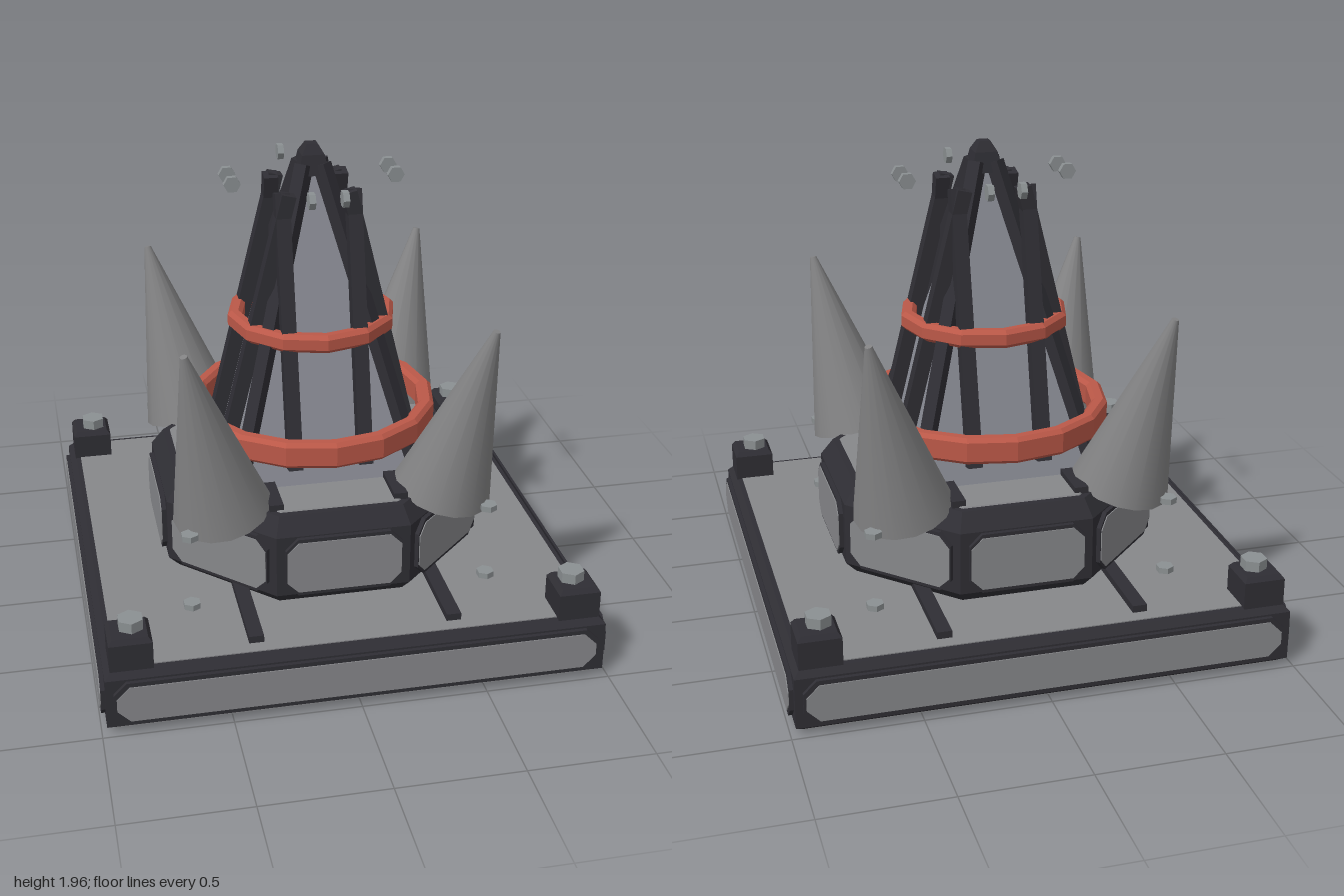
import * as THREE from 'three';

const mat = (name, color) => {
  const m = new THREE.MeshStandardMaterial({ color });
  m.name = name;
  return m;
};

export function createModel() {
  const model = new THREE.Group();
  const dark = mat('dark frame', 0x2f2e34);
  const grey = mat('grey panel', 0x86878a);
  const steel = mat('tower steel', 0x888a93);
  const spikeGrey = mat('spike grey', 0x828283);
  const boltGrey = mat('bolt grey', 0x8b9092);
  const red = mat('red ring', 0xbb5848);

  // faceted normals
  const flat = (g) => {
    const f = g.index ? g.toNonIndexed() : g;
    f.computeVertexNormals();
    return f;
  };
  const add = (name, geo, material, parent = model) => {
    const m = new THREE.Mesh(geo, material);
    m.name = name;
    parent.add(m);
    return m;
  };
  // n-sided frustum measured across its flats, standing from y0 to y1
  const frustum = (name, n, a0, y0, a1, y1, material, open = false) => {
    const k = 1 / Math.cos(Math.PI / n);
    const g = new THREE.CylinderGeometry(a1 * k, a0 * k, y1 - y0, n, 1, open, Math.PI / n);
    const m = add(name, flat(g), material);
    m.position.y = (y0 + y1) / 2;
    return m;
  };
  // chamfered plate facing +z
  const plateGeo = (w, h, c, d) => {
    const x = w / 2, y = h / 2;
    const s = new THREE.Shape([[-x + c, -y], [x - c, -y], [x, -y + c], [x, y - c],
      [x - c, y], [-x + c, y], [-x, y - c], [-x, -y + c]].map((p) => new THREE.Vector2(...p)));
    return new THREE.ExtrudeGeometry(s, { depth: d, bevelEnabled: false });
  };
  // plate on the outside of a polygonal body, turned to the given angle
  const sidePlate = (name, geo, material, angle, dist, y) => {
    const m = add(name, geo, material);
    m.rotation.y = angle;
    m.position.set(Math.sin(angle) * dist, y, Math.cos(angle) * dist);
  };
  // square bar between two points
  const strut = (name, p, q, w, h, material = dark) => {
    const a = new THREE.Vector3(...p), b = new THREE.Vector3(...q);
    const m = add(name, new THREE.BoxGeometry(w, h, a.distanceTo(b)), material);
    m.position.copy(a).add(b).multiplyScalar(0.5);
    m.lookAt(b);
  };
  const hexBolt = (name, x, y, z, r, h) => {
    const m = add(name, flat(new THREE.CylinderGeometry(r, r, h, 6)), boltGrey);
    m.position.set(x, y, z);
    return m;
  };
  const corners = [[1, 1], [1, -1], [-1, -1], [-1, 1]];

  // base slab with bevelled edges
  frustum('baseBottomBevel', 4, 0.945, 0.004, 0.98, 0.03, dark);
  frustum('baseBody', 4, 0.98, 0.03, 0.98, 0.235, dark);
  frustum('baseTopBevel', 4, 0.98, 0.235, 0.955, 0.262, dark);
  frustum('baseFloor', 4, 0.945, 0, 0.945, 0.005, grey);
  frustum('baseTop', 4, 0.935, 0.26, 0.935, 0.266, grey);
  const baseFrame = plateGeo(1.9, 0.185, 0.05, 0.018);
  const basePanel = plateGeo(1.88, 0.15, 0.05, 0.004);
  for (let i = 0; i < 4; i++) {
    sidePlate('baseSideFrame', baseFrame, dark, i * Math.PI / 2, 0.978, 0.135);
    sidePlate('baseSidePanel', basePanel, grey, i * Math.PI / 2, 0.996, 0.135);
  }

  // corner blocks and their bolts
  for (const [sx, sz] of corners) {
    for (const [r0, y0, r1, y1] of [[0.083, 0.25, 0.083, 0.37], [0.083, 0.37, 0.068, 0.39]]) {
      const block = frustum('cornerBlock', 4, r0, y0, r1, y1, dark);
      block.position.x = sx * 0.875;
      block.position.z = sz * 0.875;
    }
    hexBolt('cornerBolt', sx * 0.865, 0.41, sz * 0.865, 0.052, 0.045);
  }

  // floor rails and deck rails
  for (const s of [-1, 1]) {
    strut('floorRail', [s * 0.39, 0.272, -0.88], [s * 0.39, 0.272, 0.88], 0.058, 0.045);
    strut('deckRail', [s * 0.25, 0.65, -0.56], [s * 0.25, 0.65, 0.56], 0.055, 0.045);
  }

  // octagonal housing
  frustum('housingFoot', 8, 0.6, 0.26, 0.65, 0.315, dark);
  frustum('housingBody', 8, 0.65, 0.315, 0.65, 0.575, dark);
  frustum('housingBevel', 8, 0.65, 0.575, 0.6, 0.645, dark);
  frustum('housingDeck', 8, 0.575, 0.642, 0.57, 0.65, grey);
  const housingFrame = plateGeo(0.47, 0.25, 0.05, 0.018);
  const housingPanel = plateGeo(0.46, 0.22, 0.045, 0.004);
  for (let i = 0; i < 8; i++) {
    sidePlate('housingFrame', housingFrame, dark, i * Math.PI / 4, 0.65, 0.445);
    sidePlate('housingPanel', housingPanel, grey, i * Math.PI / 4, 0.668, 0.445);
  }

  // tower: square pyramid, corner ribs and cap
  frustum('tower', 4, 0.375, 0.64, 0.04, 1.86, steel);
  for (const [sx, sz] of corners) {
    strut('towerRib', [sx * 0.365, 0.65, sz * 0.365], [sx * 0.035, 1.88, sz * 0.035], 0.055, 0.055);
  }
  frustum('towerCapBase', 4, 0.062, 1.84, 0.045, 1.92, dark);
  frustum('towerCapTip', 4, 0.045, 1.92, 0.022, 1.96, dark);

  // two leaning bars on each tower face
  for (const s of [-1, 1]) {
    for (const t of [-1, 1]) {
      strut('towerBarZ', [s * 0.143, 0.73, t * 0.385], [s * 0.143, 1.8, t * 0.12], 0.058, 0.058);
      strut('towerBarX', [t * 0.385, 0.73, s * 0.143], [t * 0.12, 1.8, s * 0.143], 0.058, 0.058);
    }
  }

  // bevelled rings around the tower
  const ring = (name, ri, ro, y0, y1, n) => {
    const b = 0.016;
    const pts = [[ri, y0 + b], [ri + b, y0], [ro - b, y0], [ro, y0 + b], [ro, y1 - b],
      [ro - b, y1], [ri + b, y1], [ri, y1 - b], [ri, y0 + b]].map((p) => new THREE.Vector2(...p));
    add(name, flat(new THREE.LatheGeometry(pts, n)), red);
  };
  ring('lowerRing', 0.45, 0.515, 0.78, 0.89, 16);
  ring('upperRing', 0.285, 0.345, 1.2, 1.275, 12);

  // outward leaning corner spikes
  const up = new THREE.Vector3(0, 1, 0);
  for (const [sx, sz] of corners) {
    const base = new THREE.Vector3(sx * 0.45, 0.625, sz * 0.45);
    const tip = new THREE.Vector3(sx * 0.6, 1.355, sz * 0.6);
    const dir = tip.clone().sub(base);
    const spike = add('spike', new THREE.CylinderGeometry(0.014, 0.2, dir.length(), 16), spikeGrey);
    spike.position.copy(base).add(tip).multiplyScalar(0.5);
    spike.quaternion.setFromUnitVectors(up, dir.normalize());
    hexBolt('spikeBolt', sx * 0.6, 0.597, sz * 0.6, 0.036, 0.024);
    hexBolt('floorBolt', sx * 0.6, 0.29, sz * 0.6, 0.036, 0.024);
  }

  // small hexagonal studs around the tower top
  for (const s of [-1, 1]) {
    for (const t of [-1, 1]) {
      hexBolt('studX', s * 0.327, 1.83, t * 0.065, 0.034, 0.025).rotation.set(Math.PI / 2, Math.PI / 6, 0);
      hexBolt('studZ', t * 0.065, 1.83, s * 0.327, 0.034, 0.025).rotation.z = Math.PI / 2;
    }
  }
  return model;
}
